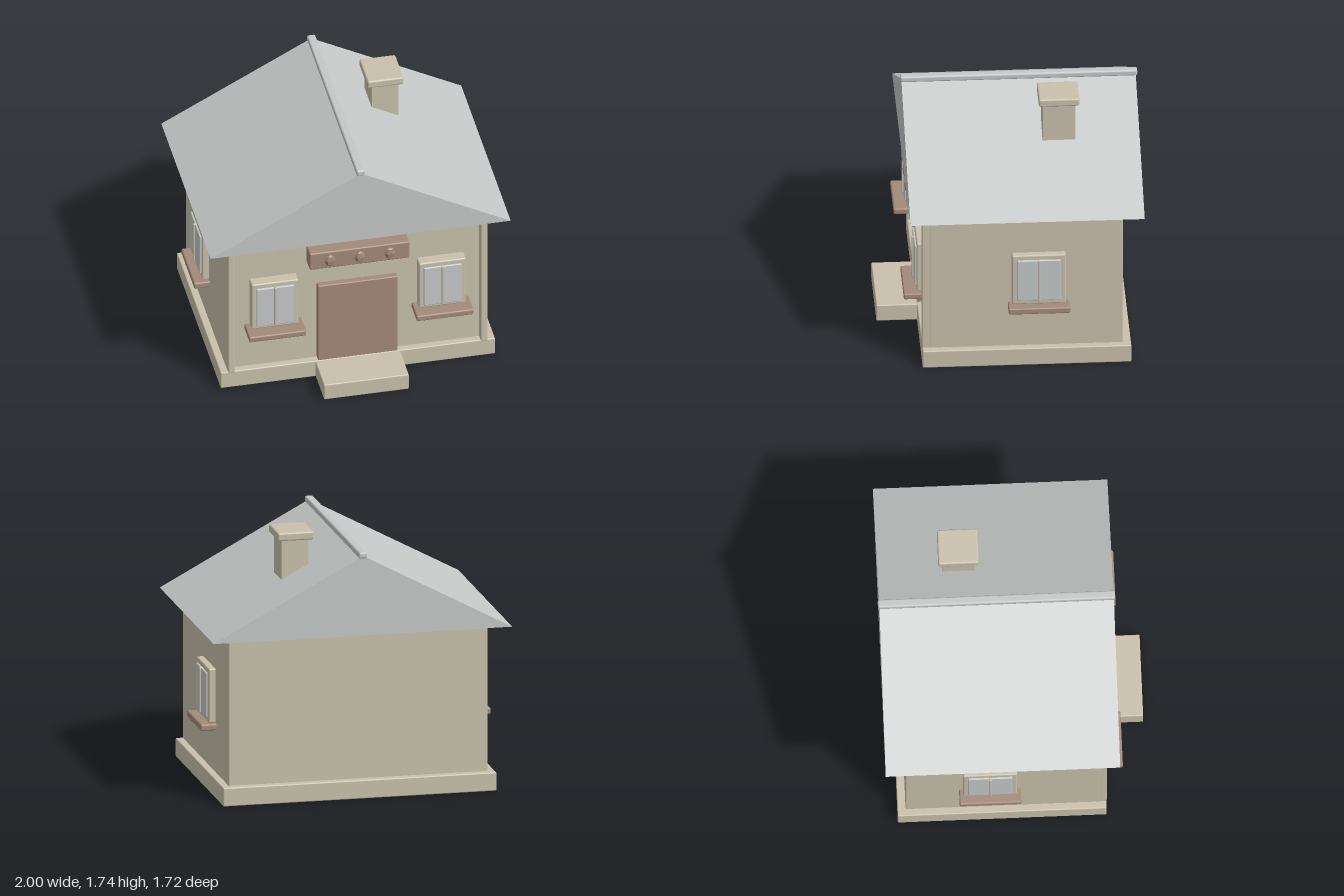
import * as THREE from 'three';
import { RoundedBoxGeometry } from 'three/addons/geometries/RoundedBoxGeometry.js';

const flat = (name, color) => Object.assign(new THREE.MeshStandardMaterial({ color }), { name });

export function createModel() {
  const house = new THREE.Group();
  house.name = 'house';
  const stone = flat('beige stone', 0xc9c1ac);
  const slate = flat('light grey slate', 0xc6c8c8);
  const wood = flat('brown wood', 0xa48a7a);
  const glass = flat('pale glass', 0xc6c9ca);

  // Softly bevelled box given by its extents on each axis
  function block(parent, name, material, [x0, x1], [y0, y1], [z0, z1], bevel = 0.008) {
    const size = [x1 - x0, y1 - y0, z1 - z0];
    const radius = Math.min(bevel, Math.min(...size) * 0.3);
    const mesh = new THREE.Mesh(new RoundedBoxGeometry(...size, 2, radius), material);
    mesh.position.set((x0 + x1) / 2, (y0 + y1) / 2, (z0 + z1) / 2);
    mesh.name = name;
    parent.add(mesh);
    return mesh;
  }

  // Foundation, step and walls
  block(house, 'foundation', stone, [-0.915, 0.915], [0, 0.125], [-0.768, 0.595]);
  block(house, 'doorStep', stone, [-0.283, 0.283], [0, 0.118], [0.5, 0.86]);
  block(house, 'walls', stone, [-0.867, 0.867], [0.1, 1.13], [-0.715, 0.548]);
  for (const s of [-1, 1]) {
    const post = block(house, s > 0 ? 'leftCornerPost' : 'rightCornerPost', stone,
      [0.818, 0.866], [0.115, 1.1], [0.53, 0.598], 0.01);
    post.position.x *= s;
  }

  // Solid gable roof with ridge cap
  const gable = new THREE.Shape([
    new THREE.Vector2(-1, 1.12), new THREE.Vector2(1, 1.12), new THREE.Vector2(0, 1.655)]);
  const roof = new THREE.Mesh(
    new THREE.ExtrudeGeometry(gable, { depth: 1.53, bevelEnabled: false }), slate);
  roof.position.z = -0.85;
  roof.name = 'roof';
  house.add(roof);
  block(house, 'ridgeCap', slate, [-0.028, 0.028], [1.638, 1.68], [-0.86, 0.688], 0.012);

  // Chimney
  block(house, 'chimney', stone, [0.265, 0.447], [1.3, 1.69], [-0.43, -0.215], 0.004);
  block(house, 'chimneyCap', stone, [0.235, 0.475], [1.68, 1.735], [-0.455, -0.19], 0.012);

  // Door and sign board with three faceted studs
  block(house, 'door', wood, [-0.265, 0.265], [0.12, 0.72], [0.53, 0.59]);
  block(house, 'signBoard', wood, [-0.333, 0.333], [0.9, 1.03], [0.53, 0.648], 0.01);
  const studGeometry = new THREE.SphereGeometry(1, 6, 4).toNonIndexed();
  studGeometry.computeVertexNormals();
  for (const x of [-0.2, 0, 0.2]) {
    const stud = new THREE.Mesh(studGeometry, wood);
    stud.scale.set(0.036, 0.046, 0.018);
    stud.position.set(x, 0.965, 0.655);
    stud.name = 'signStud';
    house.add(stud);
  }

  // Window facing +z with the wall surface at z = 0; sizes are half widths and depths
  function windowUnit(name, w, depth, bottom, glassHalf, sillHalf, sillDepth, sillDrop) {
    const unit = new THREE.Group();
    unit.name = name;
    block(unit, 'windowFrame', stone, [-w, w], [bottom, 0.82], [-0.02, depth], 0.01);
    block(unit, 'windowGlass', glass, [-glassHalf, glassHalf], [0.487, 0.787], [depth - 0.01, depth + 0.012]);
    block(unit, 'windowMullion', stone, [-0.009, 0.009], [0.485, 0.79], [depth - 0.01, depth + 0.024]);
    block(unit, 'windowSill', wood, [-sillHalf, sillHalf], [bottom - sillDrop, bottom], [-0.02, sillDepth], 0.01);
    house.add(unit);
    return unit;
  }
  for (const s of [-1, 1]) {
    const side = s > 0 ? 'left' : 'right';
    const front = windowUnit(side + 'FrontWindow', 0.156, 0.074, 0.463, 0.126, 0.19, 0.16, 0.042);
    front.position.set(s * 0.558, 0, 0.548);
    const lateral = windowUnit(side + 'SideWindow', 0.176, 0.045, 0.455, 0.144, 0.201, 0.104, 0.044);
    lateral.position.set(s * 0.867, 0, -0.165);
    lateral.rotation.y = s * Math.PI / 2;
  }
  return house;
}
